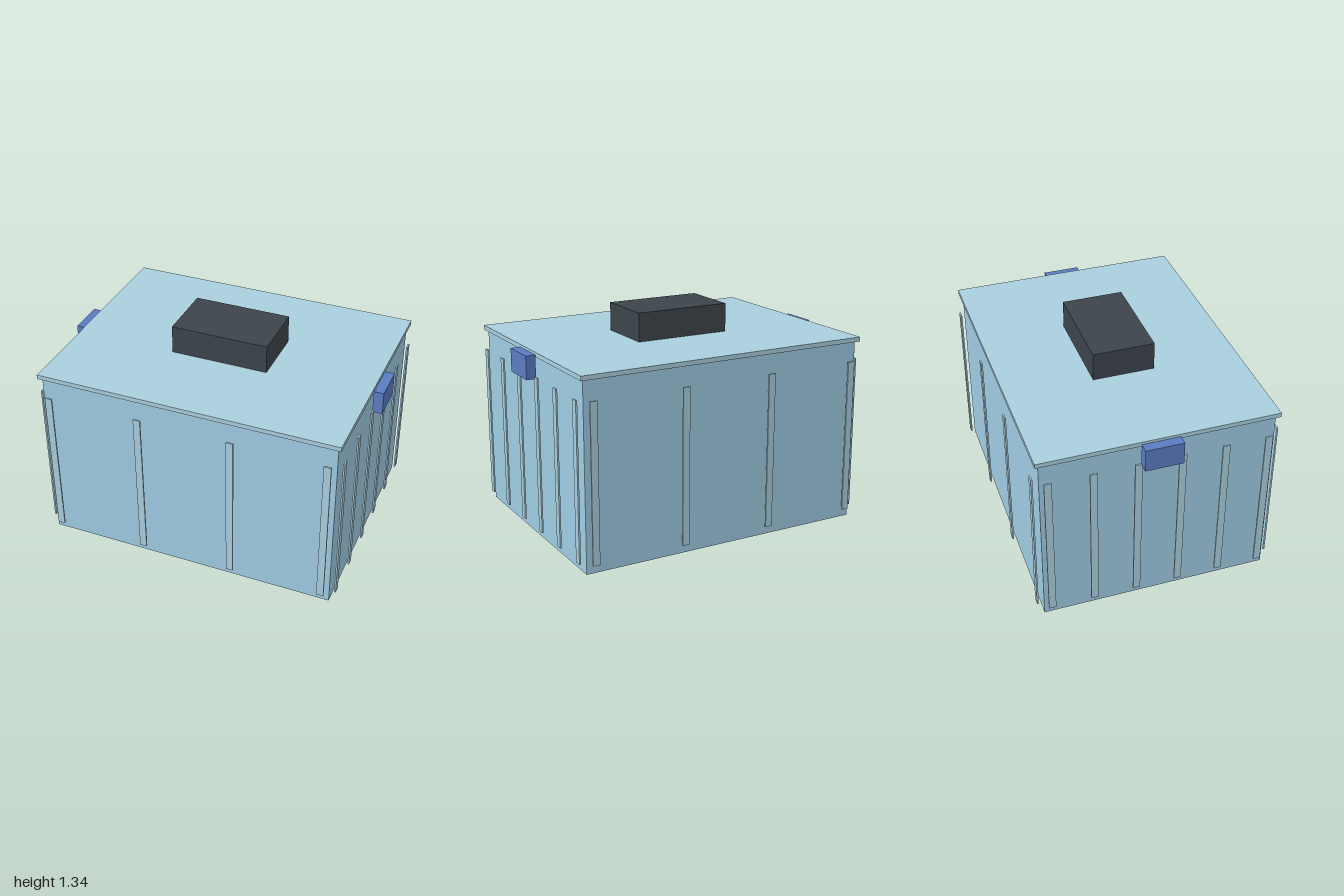
import * as THREE from 'three';

const paint = (color) => new THREE.MeshStandardMaterial({ color });

export function createModel() {
  const model = new THREE.Group();
  const blue = paint(0xa0cce4);
  const pale = paint(0xaacfdf);
  const clipBlue = paint(0x5b7cc2);
  const dark = paint(0x3c454b);

  // box given by its centre in x and z, its bottom y and its size
  function box(name, material, [w, h, d], [x, y, z], parent = model) {
    const mesh = new THREE.Mesh(new THREE.BoxGeometry(w, h, d), material);
    mesh.name = name;
    mesh.position.set(x, y + h / 2, z);
    parent.add(mesh);
  }

  // container, overhanging lid and the block on top
  box('body', blue, [1.834, 1.135, 1.396], [0, 0, 0]);
  box('lid', pale, [1.876, 0.028, 1.442], [0, 1.137, 0]);
  box('topHandle', dark, [0.606, 0.176, 0.378], [0, 1.167, 0]);

  // thin upright ribs standing just off the four walls
  const ribs = new THREE.Group();
  ribs.name = 'ribs';
  model.add(ribs);
  const bottom = 0.06, height = 0.96, width = 0.044, thick = 0.01;

  for (const side of [-1, 1]) {
    for (let i = 0; i < 4; i++) {
      box(side > 0 ? 'frontRib' : 'backRib', pale, [width, height, thick],
        [(i - 1.5) * 0.58, bottom, side * 0.73], ribs);
    }
    for (let i = 0; i < 6; i++) {
      box(side > 0 ? 'leftRib' : 'rightRib', pale, [thick, height, width],
        [side * 0.946, bottom, (i - 2.5) * 0.262], ribs);
    }
    // side clip below the lid edge
    box(side > 0 ? 'leftClip' : 'rightClip', clipBlue, [0.06, 0.143, 0.23],
      [side * 0.97, 1.007, 0]);
  }

  return model;
}
